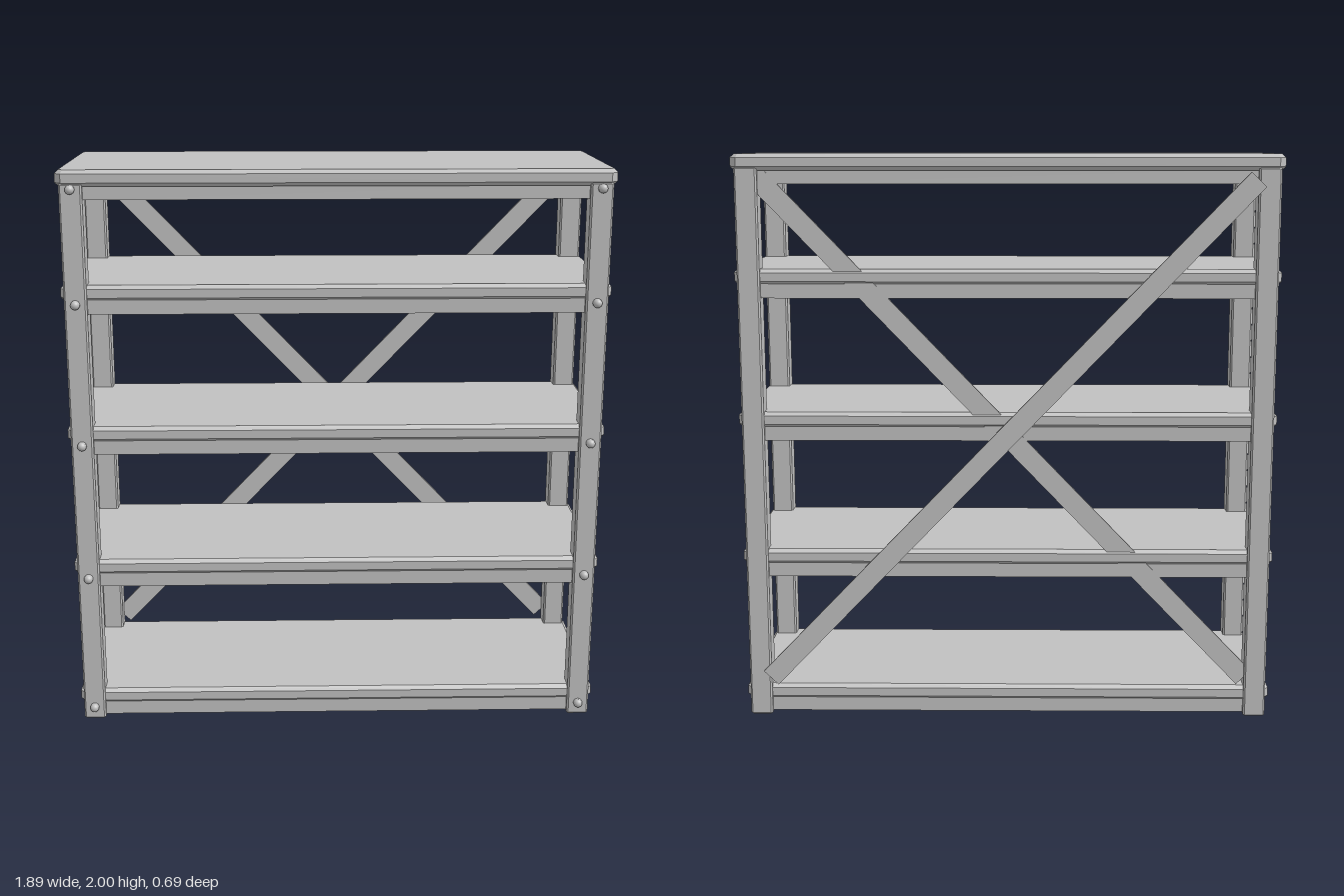
import * as THREE from 'three';

const ZC = -0.008;          // depth centre of the frame
const POST_X = 0.89, POST_Z = 0.29, POST_W = 0.078;
const SHELF_TOPS = [0.11, 0.615, 1.11, 1.61, 2.0];
const SHELF_T = 0.056;

// Upright slab with cut corners and a bevel all round, base at y = 0
function bevelledSlab(w, h, d, corner, bevel) {
  const x = w / 2 - bevel, z = d / 2 - bevel, c = corner;
  const shape = new THREE.Shape([
    [x - c, -z], [x, -z + c], [x, z - c], [x - c, z],
    [-x + c, z], [-x, z - c], [-x, -z + c], [-x + c, -z],
  ].map(([a, b]) => new THREE.Vector2(a, b)));
  const geo = new THREE.ExtrudeGeometry(shape, {
    depth: h - 2 * bevel, bevelEnabled: true, bevelSegments: 1,
    bevelSize: bevel, bevelThickness: bevel,
  });
  geo.translate(0, 0, bevel);
  geo.rotateX(-Math.PI / 2);
  return geo;
}

export function createModel() {
  const group = new THREE.Group();
  const grey = new THREE.MeshStandardMaterial({ color: 0xc0c0c0 });
  grey.name = 'grey metal';

  const add = (name, geo, x, y, z) => {
    const mesh = new THREE.Mesh(geo, grey);
    mesh.name = name;
    mesh.position.set(x, y, z);
    group.add(mesh);
    return mesh;
  };

  // Four corner posts
  const postGeo = bevelledSlab(POST_W, 1.955, POST_W, 0.003, 0.005);
  for (const sx of [-1, 1]) {
    for (const sz of [-1, 1]) {
      add(sz > 0 ? 'frontPost' : 'backPost', postGeo, sx * POST_X, 0, ZC + sz * POST_Z);
    }
  }

  // Shelves, each with a front and back rail and two front bolts
  const shelfGeo = bevelledSlab(1.886, SHELF_T, 0.636, 0.015, 0.013);
  const topGeo = bevelledSlab(1.886, SHELF_T, 0.66, 0.015, 0.013);
  const railGeo = new THREE.BoxGeometry(1.72, 0.05, 0.02);
  const boltGeo = new THREE.SphereGeometry(0.016, 16, 8, 0, Math.PI * 2, 0, Math.PI / 2);
  boltGeo.rotateX(Math.PI / 2);
  const shankGeo = new THREE.CylinderGeometry(0.016, 0.016, 0.012, 16);
  shankGeo.rotateX(Math.PI / 2);

  SHELF_TOPS.forEach((top, i) => {
    const bottom = top - SHELF_T;
    add('shelf', i === SHELF_TOPS.length - 1 ? topGeo : shelfGeo, 0, bottom, ZC);
    for (const s of [-1, 1]) {
      add(s > 0 ? 'frontRail' : 'backRail', railGeo, 0, bottom - 0.02, ZC + s * 0.3);
      add('boltHead', boltGeo, s * POST_X, bottom - 0.008, 0.329);
      add('boltShank', shankGeo, s * POST_X, bottom - 0.008, 0.324);
    }
  });

  // Crossed back braces: one outside the posts, one just inside the shelf edge
  const braceGeo = new THREE.BoxGeometry(2.458, 0.072, 0.01);
  const tilt = THREE.MathUtils.degToRad(46.2);
  add('outerBrace', braceGeo, 0, 1.028, -0.341).rotation.z = -tilt;
  add('innerBrace', braceGeo, 0, 1.028, -0.316).rotation.z = tilt;

  return group;
}
